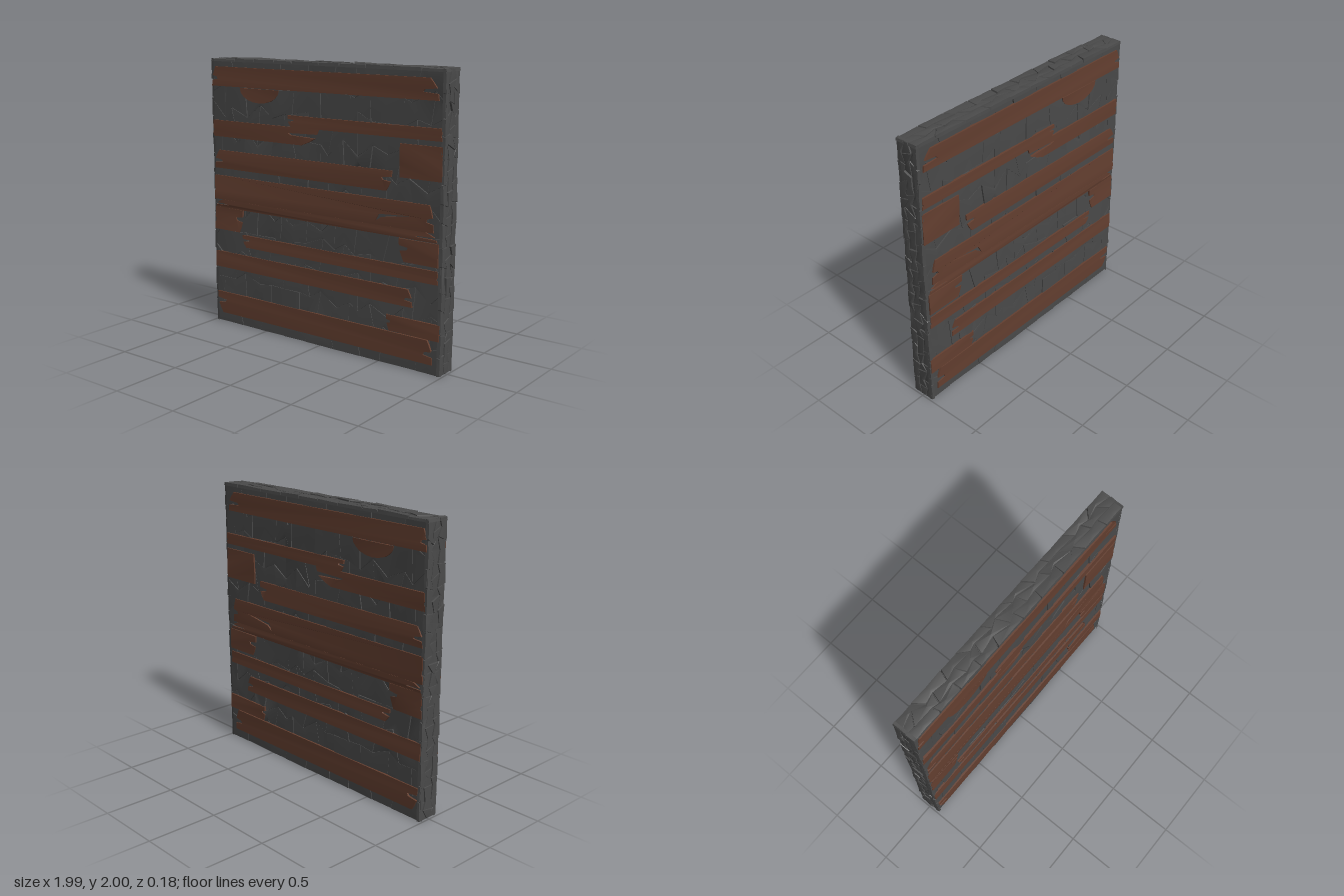
import * as THREE from 'three';
import { toCreasedNormals } from 'three/addons/utils/BufferGeometryUtils.js';

const stone = new THREE.MeshStandardMaterial({ name: 'darkStone', color: 0x4a4a4a });
const wood = new THREE.MeshStandardMaterial({ name: 'brownWood', color: 0x643f30 });

// Repeatable random value in -1..1 for a pair of whole numbers
function hash(a, b, seed) {
  const s = Math.sin(a * 127.1 + b * 311.7 + seed * 74.7) * 43758.5453;
  return (s - Math.floor(s)) * 2 - 1;
}

// Field of interlocking irregular stones in the XY plane, bulging towards +z
function stoneField({ w, h, cols, rows, seed, inset, rough, bulge, crease }) {
  const pos = [];
  const du = w / cols / 2, dv = h / rows;
  const corner = (r, k) => {
    const onSide = k <= 0 || k >= cols * 2;
    const onEnd = r === 0 || r === rows;
    const kk = Math.min(Math.max(k, 0), cols * 2);
    const zig = ((kk + r) % 2 ? 0.16 : -0.16) * dv;
    return new THREE.Vector3(
      -w / 2 + kk * du + (onSide ? 0 : hash(r, kk, seed) * du * 0.4),
      -h / 2 + r * dv + (onEnd ? 0 : zig + hash(kk, r, seed + 3) * dv * 0.24), 0);
  };
  const tri = (...p) => p.forEach((v) => pos.push(v.x, v.y, v.z));
  for (let r = 0; r < rows; r++) {
    const odd = r % 2;
    for (let c = -odd; c < cols; c++) {
      const k = 2 * c + odd;
      const ring = [0, 1, 2].map((i) => corner(r, k + i))
        .concat([2, 1, 0].map((i) => corner(r + 1, k + i)))
        .filter((p, i, all) => !all.slice(0, i).some((q) => q.distanceTo(p) < 1e-6));
      const mid = ring.reduce((m, p) => m.add(p), new THREE.Vector3()).divideScalar(ring.length);
      const lift = hash(r, c, seed + 7) * rough;
      const tiltX = hash(r, c, seed + 11), tiltY = hash(c, r, seed + 13);
      const top = ring.map((p) => {
        const q = p.clone().sub(mid);
        q.setLength(Math.max(q.length() - inset, 0)).add(mid);
        q.z = lift + rough * (tiltX * (p.x - mid.x) / du + tiltY * (p.y - mid.y) / dv) * 0.8;
        return q;
      });
      const peak = mid.clone().setZ(lift + bulge);
      ring.forEach((p, i) => {
        const j = (i + 1) % ring.length;
        const a = p.clone().setZ(-0.02), b = ring[j].clone().setZ(-0.02);
        tri(a, b, top[j]);
        tri(a, top[j], top[i]);
        tri(top[i], top[j], peak);
      });
    }
  }
  const g = new THREE.BufferGeometry();
  g.setAttribute('position', new THREE.Float32BufferAttribute(pos, 3));
  return toCreasedNormals(g, crease);
}

// Copy of an unindexed geometry reflected to the back, with corner order restored
function mirrorZ(geometry, crease) {
  const g = geometry.clone();
  const p = geometry.attributes.position;
  for (let i = 0; i < p.count; i++) {
    const s = i % 3 === 0 ? i : i % 3 === 1 ? i + 1 : i - 1;
    g.attributes.position.setXYZ(i, p.getX(s), p.getY(s), -p.getZ(s));
  }
  return toCreasedNormals(g, crease);
}

// Planks: name, left, right, bottom, top, then splinter depth of the left and right ends
// (a negative depth turns the splintered end upside down)
const planks = [
  ['topPlank', -0.98, 0.94, 1.79, 1.93, 0.06, 0.13],
  ['steppedPlankUpper', -0.27, 0.97, 1.54, 1.62, -0.06, 0.01],
  ['steppedPlankLower', -0.98, 0, 1.42, 1.54, 0.01, -0.3],
  ['squarePatch', 0.66, 0.975, 1.285, 1.505, 0, 0],
  ['upperPlank', -0.97, 0.6, 1.185, 1.32, 0.09, -0.09],
  ['widePlank', -0.98, 0.92, 0.95, 1.13, 0.01, 0.06],
  ['widePlankStrip', -0.97, 0.95, 0.89, 0.95, 0.14, 0.18],
  ['widePlankTail', -0.98, -0.7, 0.72, 0.89, 0.01, -0.08],
  ['shortPlank', 0.66, 0.96, 0.73, 0.885, -0.08, 0],
  ['narrowPlank', -0.71, 0.96, 0.615, 0.705, -0.08, 0.01],
  ['lowerPlank', -0.98, 0.77, 0.43, 0.55, 0, 0.07],
  ['lowerScrap', 0.57, 0.98, 0.24, 0.35, -0.04, 0],
  ['bottomPlank', -0.97, 0.93, 0.07, 0.235, -0.1, 0.08],
];

// Outline of a plank whose two ends are broken into splinters
function plankShape(x0, x1, y0, y1, leftDepth, rightDepth) {
  const splinters = [[0, 0], [0.3, 0.05], [0.36, 0.9], [0.48, 0.8], [0.54, 0.1], [0.8, 0.3], [1, 0.5]];
  const end = (x, depth, inward) => {
    const pts = splinters.map(([f, pull]) => new THREE.Vector2(
      x + inward * Math.abs(depth) * pull, THREE.MathUtils.lerp(y0, y1, depth < 0 ? 1 - f : f)));
    return depth < 0 ? pts.reverse() : pts;
  };
  return new THREE.Shape([...end(x1, rightDepth, -1), ...end(x0, leftDepth, 1).reverse()]);
}

// Board cut from a shape, with a gentle warp
function boardGeometry(shape) {
  const g = new THREE.ExtrudeGeometry(shape, { depth: 0.03, bevelEnabled: false, curveSegments: 5 });
  g.translate(0, 0, 0.057);
  const p = g.attributes.position;
  for (let i = 0; i < p.count; i++) {
    p.setZ(i, p.getZ(i) + 0.0025 * Math.sin(p.getX(i) * 9 + p.getY(i) * 23));
  }
  return toCreasedNormals(g, 0.6);
}

export function createModel() {
  const model = new THREE.Group();
  model.name = 'boardedStoneWall';
  const add = (name, geometry, material, parent = model) => {
    const mesh = new THREE.Mesh(geometry, material);
    mesh.name = name;
    parent.add(mesh);
  };

  // Solid core with a flat underside
  add('wallCore', new THREE.BoxGeometry(1.96, 1.98, 0.136).translate(0, 0.99, 0), stone);

  // Broad shallow stones on both faces
  const front = new THREE.Group(), back = new THREE.Group();
  front.name = 'frontFace';
  back.name = 'backFace';
  model.add(front, back);
  const face = stoneField({ w: 1.975, h: 1.98, cols: 9, rows: 11, seed: 5, inset: 0.002, rough: 0.0035, bulge: 0.003, crease: 0.7 });
  face.translate(0, 0.99, 0.076);
  add('frontStones', face, stone, front);
  add('backStones', mirrorZ(face, 0.7), stone, back);

  // Boards, repeated on both faces
  const addBoard = (name, shape) => {
    const g = boardGeometry(shape);
    add(name, g, wood, front);
    add(name, mirrorZ(g, 0.6), wood, back);
  };
  for (const [name, ...size] of planks) {
    const shape = plankShape(...size);
    if (name === 'widePlank') {
      // Long split in the wood
      const split = new THREE.Path().moveTo(0.47, 0.97).lineTo(0.5, 1.025).lineTo(0.75, 1.04).lineTo(0.52, 1.005);
      shape.holes.push(split);
    }
    addBoard(name, shape);
  }
  const scrap = new THREE.Shape();
  scrap.absellipse(-0.53, 1.785, 0.18, 0.1, Math.PI, Math.PI * 2, false);
  addBoard('roundedScrap', scrap);

  // Long narrow stones along the two ends and the top
  const edge = { h: 0.17, rows: 3, inset: 0.005, rough: 0.004, bulge: 0.004, crease: 0.4 };
  for (const side of [1, -1]) {
    const g = stoneField({ ...edge, w: 1.99, cols: 14, seed: 20 + side });
    g.rotateZ(Math.PI / 2).rotateY(side * Math.PI / 2).translate(side * 0.986, 0.995, 0);
    add(side > 0 ? 'leftEdgeStones' : 'rightEdgeStones', g, stone);
  }
  const cap = stoneField({ ...edge, w: 1.98, cols: 10, seed: 33 });
  add('topEdgeStones', cap.rotateX(-Math.PI / 2).translate(0, 1.988, 0), stone);
  return model;
}
